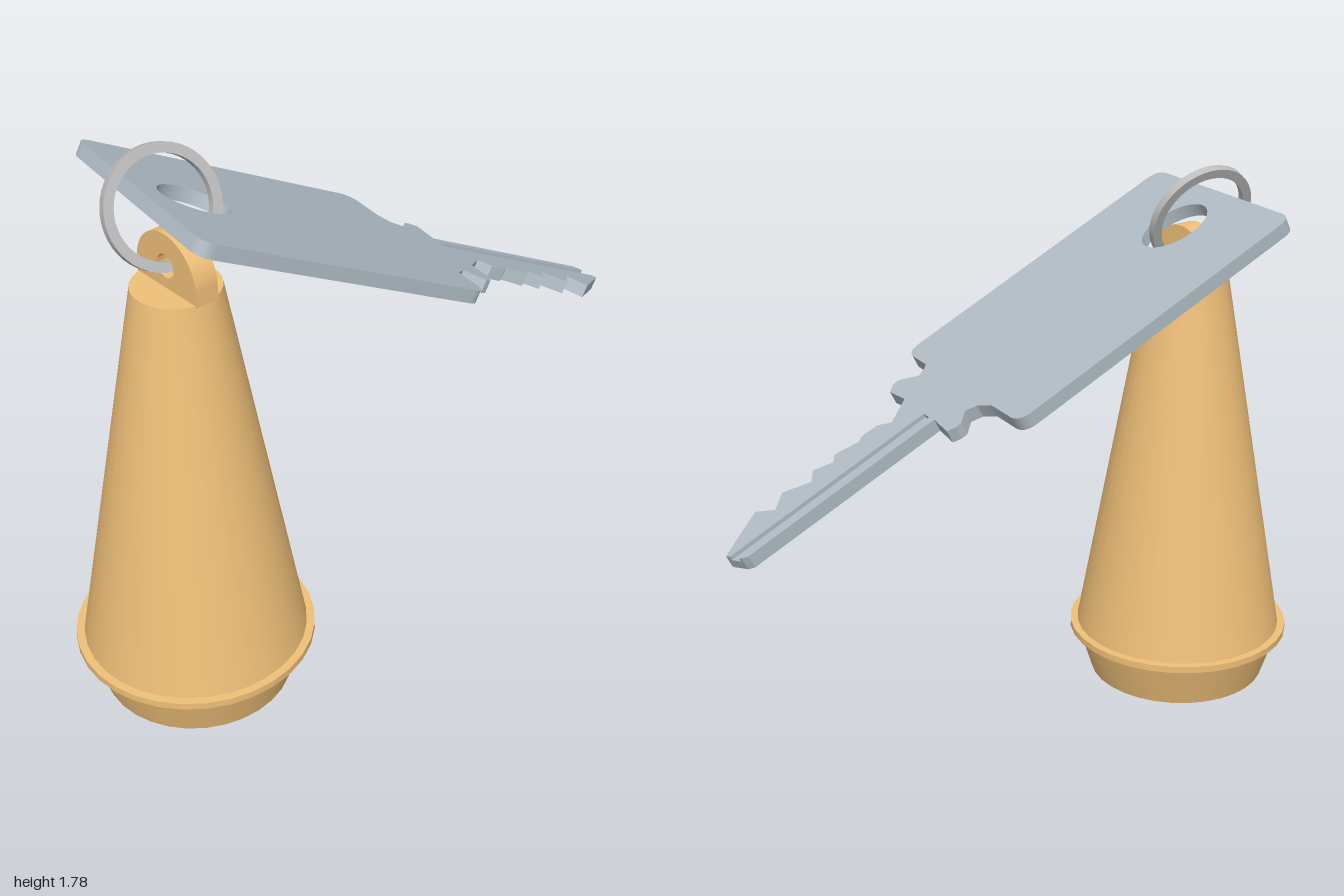
import * as THREE from 'three';
import { toCreasedNormals } from 'three/addons/utils/BufferGeometryUtils.js';

const brass = new THREE.MeshStandardMaterial({ color: 0xeebf78 });
const steel = new THREE.MeshStandardMaterial({ color: 0xaebac3 });
const ringMetal = new THREE.MeshStandardMaterial({ color: 0xbbbbbb });

function addPart(parent, name, geometry, material) {
  const mesh = new THREE.Mesh(toCreasedNormals(geometry, 0.5), material);
  mesh.name = name;
  parent.add(mesh);
  return mesh;
}

const extrude = (shape, depth) =>
  new THREE.ExtrudeGeometry(shape, { depth, bevelEnabled: false, curveSegments: 24 });

function addHole(shape, x, y, rx, ry) {
  const hole = new THREE.Path();
  hole.absellipse(x, y, rx, ry, 0, Math.PI * 2, true);
  shape.holes.push(hole);
}

// Key outline: x across, y along the key from the bow edge to the tip
const WIDTH = 0.354, BOW = 1.045, CORNER = 0.05;
const bitting = [
  [0.223, BOW], [0.21, 1.058], [0.191, 1.089], [0.245, 1.143], [0.24, 1.165], [0.214, 1.189],
  [0.129, 1.181], [0.062, 1.267], [0.098, 1.301], [0.101, 1.358], [0.084, 1.378], [0.109, 1.455],
  [0.076, 1.478], [0.109, 1.535], [0.06, 1.566], [0.11, 1.648], [0.053, 1.701], [0.113, 1.745],
  [0.008, 1.898],
];
const groove = [[-0.008, 1.89], [-0.008, 1.186], [-0.043, 1.186], [-0.043, 1.875]];
const backEdge = [
  [-0.054, 1.871], [-0.067, 1.853], [-0.07, 1.183], [-0.165, 1.191], [-0.177, 1.165],
  [-0.175, 1.144], [-0.134, 1.105], [-0.15, 1.07], [-0.197, BOW],
];

function keyShape(grooved) {
  const s = new THREE.Shape();
  s.moveTo(-WIDTH + CORNER, 0);
  s.lineTo(WIDTH - CORNER, 0);
  s.quadraticCurveTo(WIDTH, 0, WIDTH, CORNER);
  s.lineTo(WIDTH, BOW - CORNER);
  s.quadraticCurveTo(WIDTH, BOW, WIDTH - CORNER, BOW);
  for (const [x, y] of [...bitting, ...(grooved ? groove : []), ...backEdge]) s.lineTo(x, y);
  s.lineTo(-WIDTH + CORNER, BOW);
  s.quadraticCurveTo(-WIDTH, BOW, -WIDTH, BOW - CORNER);
  s.lineTo(-WIDTH, CORNER);
  s.quadraticCurveTo(-WIDTH, 0, -WIDTH + CORNER, 0);
  addHole(s, 0.006, 0.19, 0.093, 0.115);
  return s;
}

export function createModel() {
  const model = new THREE.Group();
  model.name = 'keyAndFob';

  // Conical fob with a flange and a recessed base
  const fob = new THREE.Group();
  fob.name = 'fob';
  fob.position.set(0.025, 0, 0.63);
  model.add(fob);
  const profile = [
    [0, 0.03], [0.25, 0.03], [0.25, 0], [0.295, 0], [0.345, 0.155], [0.37, 0.155],
    [0.37, 0.177], [0.345, 0.177], [0.13, 1.4], [0, 1.4],
  ].map(([r, y]) => new THREE.Vector2(r, y));
  addPart(fob, 'fobBody', new THREE.LatheGeometry(profile, 32), brass);

  // Rounded lug with the ring hole
  const lug = new THREE.Shape();
  lug.moveTo(-0.13, 1.395);
  lug.lineTo(0.13, 1.395);
  lug.lineTo(0.13, 1.44);
  lug.absarc(0, 1.44, 0.13, 0, Math.PI, false);
  addHole(lug, 0, 1.47, 0.036, 0.036);
  addPart(fob, 'fobLug', extrude(lug, 0.075), brass).position.z = -0.043;

  // Flat split ring, tilted through the lug and the key
  const band = new THREE.Shape();
  band.absarc(0, 0, 0.177, 0, Math.PI * 2, false);
  addHole(band, 0, 0, 0.147, 0.147);
  const ringGeometry = extrude(band, 0.026).translate(0, 0, -0.013);
  const ring = addPart(model, 'keyRing', ringGeometry, ringMetal);
  ring.position.set(-0.035, 1.61, 0.617);
  ring.lookAt(-0.035 + 0.91, 1.61 + 0.38, 0.617 + 0.14);

  // Key: solid lower layer and a grooved upper layer
  const key = new THREE.Group();
  key.name = 'key';
  key.rotation.set(-(Math.PI / 2 + 0.468), -0.142, 0, 'YXZ');
  key.position.set(-0.065, 1.68, 0.675);
  model.add(key);
  addPart(key, 'keyBody', extrude(keyShape(false), 0.03), steel).position.z = -0.043;
  addPart(key, 'keyGroovedFace', extrude(keyShape(true), 0.013), steel).position.z = -0.013;

  return model;
}
